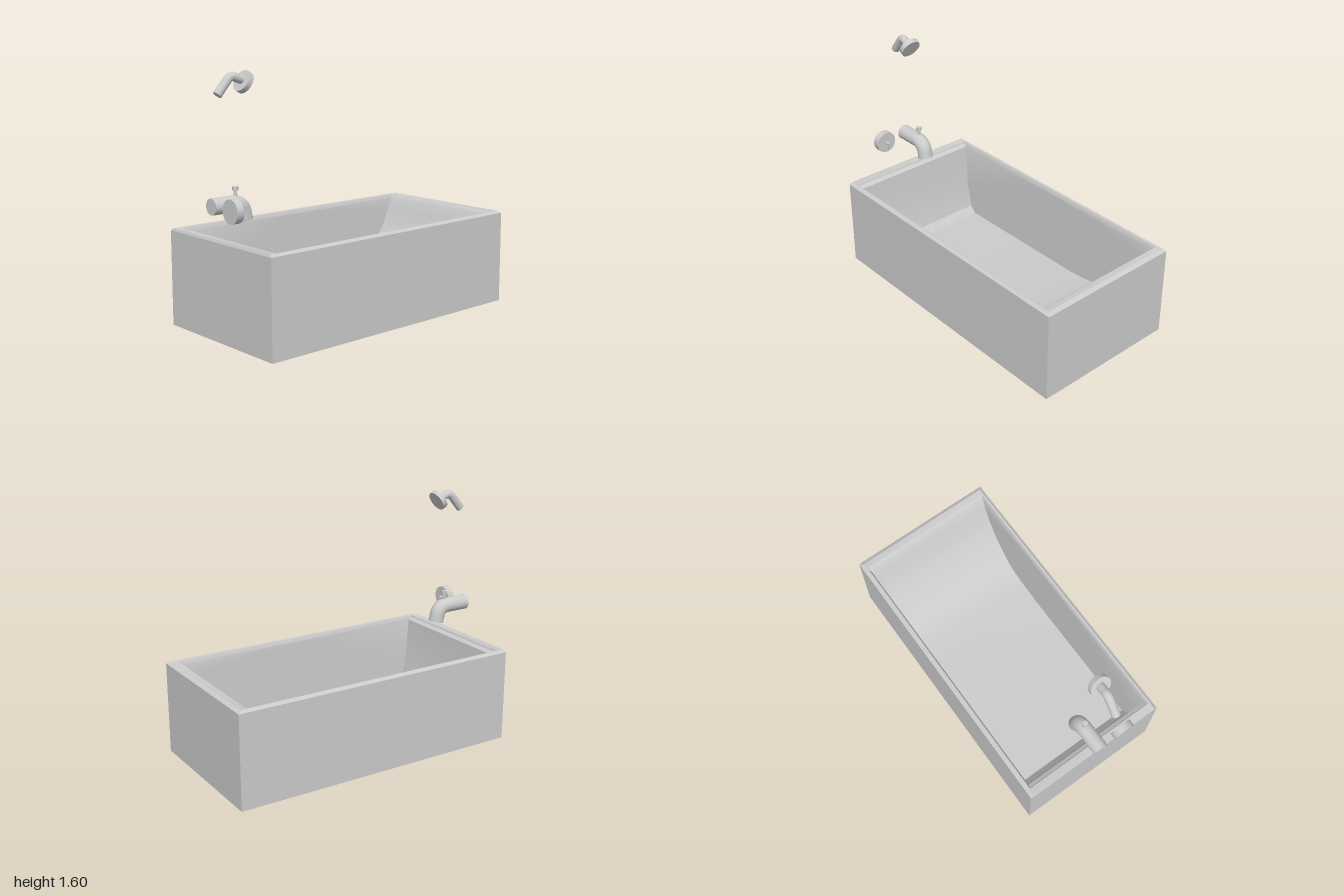
import * as THREE from 'three';
import { toCreasedNormals } from 'three/addons/utils/BufferGeometryUtils.js';

const metal = new THREE.MeshStandardMaterial({ color: 0xcccccc });
const shell = new THREE.MeshStandardMaterial({ color: 0xcccccc, side: THREE.DoubleSide });
const V = (x, y, z) => new THREE.Vector3(x, y, z);

function add(parent, name, geometry, material = metal) {
  const mesh = new THREE.Mesh(geometry, material);
  mesh.name = name;
  parent.add(mesh);
  return mesh;
}

// Cylinder between two points
function rod(parent, name, a, b, r0, r1 = r0, sides = 32) {
  const mesh = add(parent, name, new THREE.CylinderGeometry(r1, r0, a.distanceTo(b), sides));
  mesh.position.copy(a).add(b).multiplyScalar(0.5);
  mesh.quaternion.setFromUnitVectors(V(0, 1, 0), b.clone().sub(a).normalize());
  return mesh;
}

// Capped pipe: straight, rounded bend, straight
function pipe(parent, name, start, bendIn, corner, bendOut, end, r) {
  const path = new THREE.CurvePath();
  path.add(new THREE.LineCurve3(start, bendIn));
  path.add(new THREE.QuadraticBezierCurve3(bendIn, corner, bendOut));
  path.add(new THREE.LineCurve3(bendOut, end));
  add(parent, name, new THREE.TubeGeometry(path, 40, r, 28));
  for (const [p, q] of [[start, bendIn], [end, bendOut]]) {
    const cap = add(parent, name + 'Cap', new THREE.CircleGeometry(r, 28));
    cap.position.copy(p);
    cap.quaternion.setFromUnitVectors(V(0, 0, 1), p.clone().sub(q).normalize());
  }
}

function tubGeometry() {
  const pos = [];
  const tri = (...pts) => pts.forEach((p) => pos.push(p.x, p.y, p.z));
  const quad = (a, b, c, d) => { tri(a, b, c); tri(a, c, d); };

  // Outer walls and rim: rectangles as [x0, x1, half depth, y]
  const loops = [
    [-0.96, 1, 0.5, 0], [-0.96, 1, 0.5, 0.605], [-0.953, 0.975, 0.48, 0.62],
    [-0.905, 0.935, 0.47, 0.617], [-0.9, 0.922, 0.465, 0.605], [-0.875, 0.91, 0.46, 0.59],
  ].map(([x0, x1, z, y]) => [V(x0, y, z), V(x1, y, z), V(x1, y, -z), V(x0, y, -z)]);
  for (let i = 0; i + 1 < loops.length; i++) {
    for (let j = 0; j < 4; j++) {
      const k = (j + 1) % 4;
      quad(loops[i][j], loops[i][k], loops[i + 1][k], loops[i + 1][j]);
    }
  }
  quad(...loops[0].slice().reverse());

  // Basin: steep foot end, flat floor, curved backrest, slightly tapered sides
  const profile = [
    [-0.875, 0.59], [-0.845, 0.3], [-0.8, 0.13], [-0.76, 0.085], [0.25, 0.085], [0.41, 0.1],
    [0.5, 0.113], [0.59, 0.15], [0.67, 0.22], [0.73, 0.28], [0.79, 0.355], [0.83, 0.415],
    [0.88, 0.52], [0.91, 0.59],
  ];
  const at = ([x, y], s) => V(x, y, s * (0.44 + 0.02 * (y - 0.085) / 0.505));
  for (let i = 0; i + 1 < profile.length; i++) {
    const p = profile[i], q = profile[i + 1], mid = [0, 0.59];
    quad(at(p, 1), at(q, 1), at(q, -1), at(p, -1));
    tri(at(mid, -1), at(p, -1), at(q, -1));
    tri(at(mid, 1), at(q, 1), at(p, 1));
  }
  const geometry = new THREE.BufferGeometry();
  geometry.setAttribute('position', new THREE.Float32BufferAttribute(pos, 3));
  return toCreasedNormals(geometry, 0.35);
}

export function createModel() {
  const model = new THREE.Group();
  model.name = 'bathtubWithShower';
  add(model, 'tub', tubGeometry(), shell);

  // Spout with pull-up diverter
  const faucet = new THREE.Group();
  faucet.name = 'faucet';
  model.add(faucet);
  const z = -0.005;
  pipe(faucet, 'spout', V(-1, 0.823, z), V(-0.85, 0.823, z), V(-0.782, 0.823, z),
    V(-0.77, 0.765, z), V(-0.76, 0.72, z), 0.05);
  rod(faucet, 'diverterStem', V(-0.826, 0.85, z), V(-0.826, 0.91, z), 0.011);
  rod(faucet, 'diverterKnob', V(-0.826, 0.903, z), V(-0.826, 0.925, z), 0.018);

  // Round valve plate with small lever
  const valve = new THREE.Group();
  valve.name = 'valve';
  model.add(valve);
  rod(valve, 'valvePlate', V(-1, 0.82, 0.18), V(-0.952, 0.82, 0.18), 0.072, 0.072, 48);
  rod(valve, 'valveStem', V(-0.952, 0.817, 0.178), V(-0.925, 0.817, 0.178), 0.01, 0.005, 16);
  rod(valve, 'valveLever', V(-0.928, 0.818, 0.178), V(-0.944, 0.765, 0.178), 0.004, 0.003, 12);

  // Shower arm and tilted disc head
  const shower = new THREE.Group();
  shower.name = 'shower';
  model.add(shower);
  pipe(shower, 'showerArm', V(-0.977, 1.469, 0.045), V(-0.91, 1.55, 0.049), V(-0.885, 1.58, 0.051),
    V(-0.858, 1.567, 0.053), V(-0.8, 1.546, 0.057), 0.027);
  rod(shower, 'showerHead', V(-0.815, 1.546, 0.058), V(-0.787, 1.53, 0.058), 0.067, 0.067, 48);

  return model;
}
